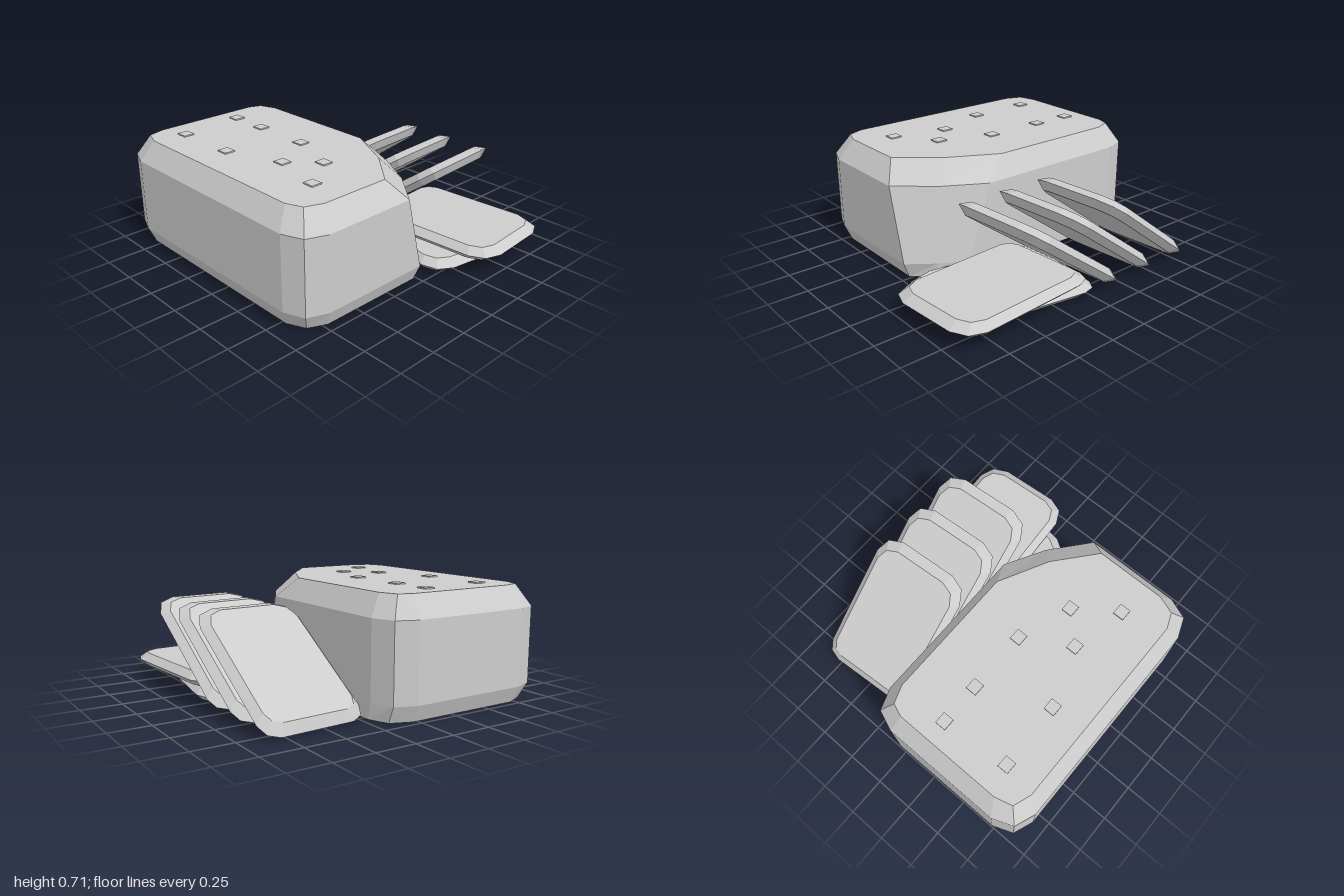
import * as THREE from 'three';

// Skin a stack of matching outlines ([x, z] clockwise from above) into a closed, hard-edged solid
function loft(rings) {
  const pos = [];
  const put = (...pts) => pts.forEach((p) => pos.push(...p));
  const loops = rings.map(({ y, outline }) => outline.map(([x, z]) => [x, y, z]));
  const n = loops[0].length;
  for (let r = 0; r < loops.length - 1; r++) {
    for (let i = 0; i < n; i++) {
      const j = (i + 1) % n;
      const [a, b, c, d] = [loops[r][i], loops[r][j], loops[r + 1][i], loops[r + 1][j]];
      put(a, c, b, b, c, d);
    }
  }
  const bottom = loops[0], top = loops[loops.length - 1];
  for (let i = 1; i < n - 1; i++) {
    put(bottom[0], bottom[i], bottom[i + 1]);
    put(top[0], top[i + 1], top[i]);
  }
  const geo = new THREE.BufferGeometry();
  geo.setAttribute('position', new THREE.Float32BufferAttribute(pos, 3));
  geo.computeVertexNormals();
  return geo;
}

// Rectangle with two-facet corners; the -x corners use cutA, the +x corners cutB
function roundedOutline(hx, hz, cutA, cutB) {
  const k = 0.3;
  return [
    [-hx, -hz + cutA], [-hx + cutA * k, -hz + cutA * k], [-hx + cutA, -hz],
    [hx - cutB, -hz], [hx - cutB * k, -hz + cutB * k], [hx, -hz + cutB],
    [hx, hz - cutB], [hx - cutB * k, hz - cutB * k], [hx - cutB, hz],
    [-hx + cutA, hz], [-hx + cutA * k, hz - cutA * k], [-hx, hz - cutA],
  ];
}

export function createModel() {
  const model = new THREE.Group();
  const crust = new THREE.MeshStandardMaterial({ color: 0xcccccc });
  crust.name = 'plainGrey';

  const add = (name, geo) => {
    const mesh = new THREE.Mesh(geo, crust);
    mesh.name = name;
    model.add(mesh);
    return mesh;
  };

  // Loaf: bevelled block with one slanted, cut-away rear corner
  const waist = [
    [-1, -0.03], [-0.95, -0.16], [-0.81, -0.21], [0.24, -0.21], [0.49, -0.07], [0.73, 0.13],
    [0.73, 0.74], [0.68, 0.87], [0.55, 0.92], [-0.82, 0.92], [-0.95, 0.87], [-1, 0.74],
  ];
  const low = [...waist];
  low.splice(3, 3, [0.39, -0.21], [0.57, -0.11], [0.73, 0.01]);
  const base = [
    [-0.96, -0.03], [-0.91, -0.16], [-0.79, -0.21], [0.38, -0.21], [0.55, -0.11], [0.69, 0.02],
    [0.69, 0.72], [0.64, 0.83], [0.53, 0.88], [-0.8, 0.88], [-0.91, 0.83], [-0.96, 0.72],
  ];
  const crown = [
    [-0.91, -0.01], [-0.88, -0.09], [-0.77, -0.13], [0.08, -0.13], [0.39, 0.03], [0.64, 0.24],
    [0.64, 0.69], [0.6, 0.8], [0.5, 0.84], [-0.77, 0.84], [-0.88, 0.8], [-0.91, 0.69],
  ];
  add('loaf', loft([
    { y: 0, outline: base }, { y: 0.1, outline: low },
    { y: 0.57, outline: waist }, { y: 0.7, outline: crown },
  ]));

  // Seeds on the top of the loaf
  const seedGeo = new THREE.BoxGeometry(0.075, 0.012, 0.07);
  const seeds = [
    [-0.77, 0.2], [-0.73, 0.63], [-0.505, 0.2], [-0.31, 0.62],
    [-0.11, 0.2], [0.06, 0.49], [0.23, 0.32], [0.41, 0.57],
  ];
  for (const [x, z] of seeds) add('seed', seedGeo).position.set(x, 0.702, z);

  // Slices: thin slabs with a pointed rim
  const L = 0.48, W = 0.335, T = 0.043, inset = 0.06;
  const face = roundedOutline(L - inset, W - inset * 0.75, 0.08, 0.11);
  const sliceGeo = loft([
    { y: -T, outline: face },
    { y: 0, outline: roundedOutline(L, W, 0.1, 0.14) },
    { y: T, outline: face },
  ]);
  const slice = (name, x, y, z, yaw, tilt) => {
    const mesh = add(name, sliceGeo);
    mesh.position.set(x, y, z);
    mesh.rotation.set(0, THREE.MathUtils.degToRad(yaw), THREE.MathUtils.degToRad(tilt), 'YZX');
  };
  slice('flatSlice', 0.38, 0.043, -0.47, -9, 0);
  slice('flatSlice', 0.515, 0.125, -0.57, 4, 0);
  for (const x of [-0.43, -0.13, 0.17]) slice('leaningSlice', x, 0.292, -0.575, 4, 36);

  return model;
}
